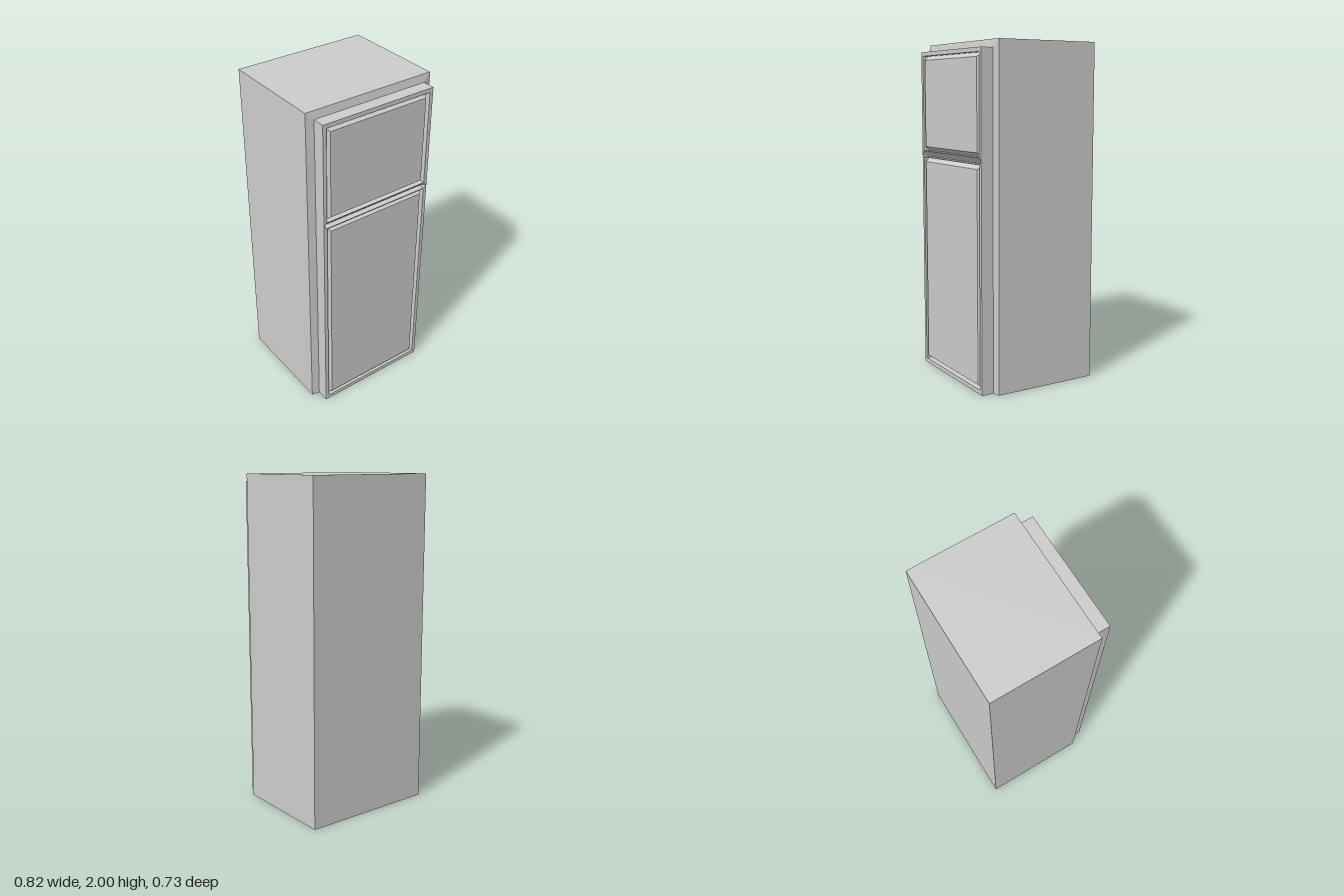
import * as THREE from 'three';

// Rectangles are [xMin, yMin, xMax, yMax]
const corners = ([x0, y0, x1, y1]) => [[x0, y0], [x1, y0], [x1, y1], [x0, y1]];

// Flat-faced geometry from points and triangles
function faceted(points, index) {
  const indexed = new THREE.BufferGeometry();
  indexed.setAttribute('position', new THREE.Float32BufferAttribute(points.flat(), 3));
  indexed.setIndex(index);
  const geometry = indexed.toNonIndexed();
  geometry.computeVertexNormals();
  return geometry;
}

// Block running from a back rectangle to a front rectangle
function taperedBlock(back, front, z0, z1) {
  const points = [
    ...corners(back).map(([x, y]) => [x, y, z0]),
    ...corners(front).map(([x, y]) => [x, y, z1]),
  ];
  const index = [4, 5, 6, 4, 6, 7, 0, 2, 1, 0, 3, 2];
  for (let i = 0; i < 4; i++) {
    const j = (i + 1) % 4;
    index.push(i, j, j + 4, i, j + 4, i + 4);
  }
  return faceted(points, index);
}

export function createModel() {
  const group = new THREE.Group();
  const enamel = new THREE.MeshStandardMaterial({ color: 0xcccccc });
  enamel.name = 'light grey enamel';

  const add = (name, geometry) => {
    const mesh = new THREE.Mesh(geometry, enamel);
    mesh.name = name;
    group.add(mesh);
  };

  const backZ = -0.365, bevelZ = 0.28, doorZ = 0.29, grooveZ = 0.33, frontZ = 0.365;
  const outer = [-0.412, 0, 0.412, 2];
  const door = [-0.365, 0, 0.365, 1.955];

  // Cabinet with a shallow bevel leading to the door
  add('cabinet', taperedBlock(outer, outer, backZ, bevelZ));
  add('cabinetBevel', taperedBlock(outer, door, bevelZ, doorZ));
  add('doorBacking', taperedBlock(door, door, doorZ, grooveZ));

  // Door frame, cut open for the two panels and the hand groove
  const panels = { upperPanel: [-0.343, 1.357, 0.343, 1.93], lowerPanel: [-0.343, 0.026, 0.343, 1.315] };
  const gripTop = 1.355, gripLow = 1.319, gripMid = 1.337, gripX = 0.344, tipX = 0.362;
  const toPoints = (list) => list.map(([x, y]) => new THREE.Vector2(x, y));
  const frame = new THREE.Shape(toPoints(corners(door)));
  for (const rect of Object.values(panels)) frame.holes.push(new THREE.Path(toPoints(corners(rect))));
  frame.holes.push(new THREE.Path(toPoints([
    [-tipX, gripMid], [-gripX, gripLow], [gripX, gripLow],
    [tipX, gripMid], [gripX, gripTop], [-gripX, gripTop],
  ])));
  const frameGeometry = new THREE.ExtrudeGeometry(frame, { depth: frontZ - grooveZ, bevelEnabled: false });
  frameGeometry.translate(0, 0, grooveZ);
  add('doorFrame', frameGeometry);

  // Raised panels with sloping edges
  const slope = 0.025;
  for (const [name, r] of Object.entries(panels)) {
    const face = [r[0] + slope, r[1] + slope, r[2] - slope, r[3] - slope];
    add(name, taperedBlock(r, face, grooveZ, frontZ));
  }

  // Hand groove, sloping back and down with pointed ends
  add('handGroove', faceted([
    [-gripX, gripLow, grooveZ], [gripX, gripLow, grooveZ],
    [gripX, gripTop, frontZ], [-gripX, gripTop, frontZ],
    [tipX, gripMid, frontZ], [-tipX, gripMid, frontZ],
  ], [0, 1, 2, 0, 2, 3, 1, 4, 2, 0, 3, 5]));

  return group;
}
